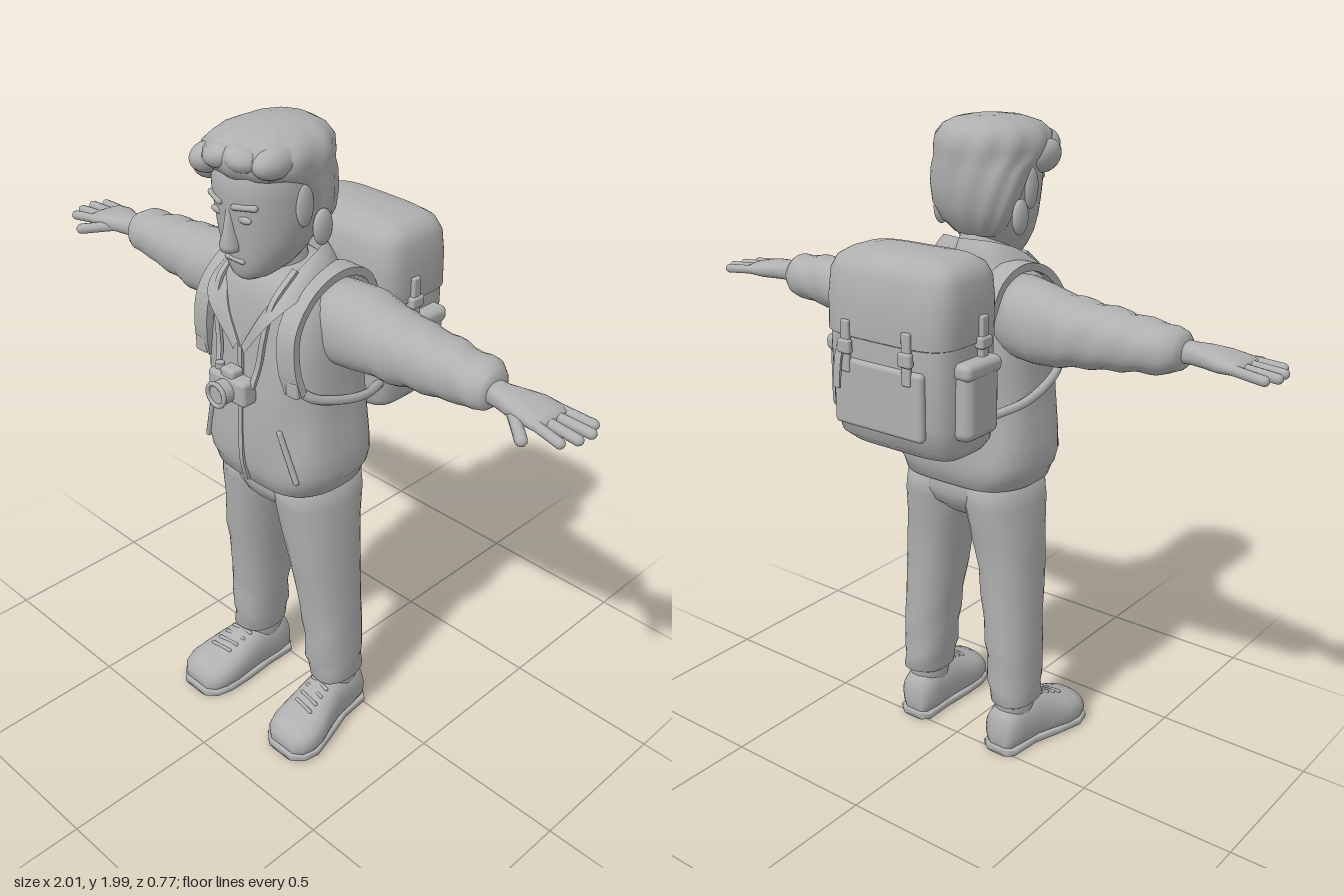
import * as THREE from 'three';
import { mergeVertices } from 'three/addons/utils/BufferGeometryUtils.js';
import { RoundedBoxGeometry } from 'three/addons/geometries/RoundedBoxGeometry.js';

const clay = new THREE.MeshStandardMaterial({ color: 0xb0b0b0, side: THREE.DoubleSide });
clay.name = 'clay grey';
const V = (x, y, z) => new THREE.Vector3(x, y, z);

// Closed skin over superellipse rings [t, a, b, ra, rb].
// axis y: a=x, b=z; axis x: a=z, b=y; axis z: a=y, b=x. t must increase.
function loft(rings, { axis = 'y', n = 2, seg = 28, mod } = {}) {
  const pos = [], idx = [];
  const put = (t, a, b, th) => {
    const p = axis === 'y' ? V(a, t, b) : axis === 'x' ? V(t, b, a) : V(b, a, t);
    if (mod) mod(p, th);
    pos.push(p.x, p.y, p.z);
  };
  const pw = (v) => Math.sign(v) * Math.abs(v) ** (2 / n);
  for (const [t, a, b, ra, rb] of rings)
    for (let j = 0; j < seg; j++) {
      const th = (j / seg) * Math.PI * 2;
      put(t, a + ra * pw(Math.cos(th)), b + rb * pw(Math.sin(th)), th);
    }
  const last = rings.length - 1, c0 = rings.length * seg;
  for (const r of [rings[0], rings[last]]) put(r[0], r[1], r[2], 0);
  for (let j = 0; j < seg; j++) {
    const k = (j + 1) % seg;
    for (let i = 0; i < last; i++) {
      const a = i * seg + j, c = i * seg + k;
      idx.push(a, a + seg, c, a + seg, c + seg, c);
    }
    idx.push(c0, j, k, c0 + 1, last * seg + k, last * seg + j);
  }
  const g = new THREE.BufferGeometry();
  g.setAttribute('position', new THREE.Float32BufferAttribute(pos, 3));
  g.setIndex(idx);
  g.computeVertexNormals();
  return g;
}

// Rounded rod between two points
function rod(a, b, r) {
  const d = b.clone().sub(a);
  const g = new THREE.CapsuleGeometry(r, d.length(), 4, 10);
  g.applyQuaternion(new THREE.Quaternion().setFromUnitVectors(V(0, 1, 0), d.normalize()));
  const m = a.clone().add(b).multiplyScalar(0.5);
  return g.translate(m.x, m.y, m.z);
}
const rbox = (w, h, d, x, y, z, r = 0.012) => new RoundedBoxGeometry(w, h, d, 3, r).translate(x, y, z);
const blob = (x, y, z, rx, ry, rz) => new THREE.SphereGeometry(1, 18, 12).scale(rx, ry, rz).translate(x, y, z);
const curve = (pts) => new THREE.CatmullRomCurve3(pts.map((p) => V(...p)));
const cord = (pts, r) => new THREE.TubeGeometry(curve(pts), 32, r, 8);

// Flat webbing, its width running across x
function webbing(pts, w, t) {
  const s = new THREE.Shape([[-w, -t], [w, -t], [w, t], [-w, t]].map(([x, y]) => new THREE.Vector2(x / 2, y / 2)));
  return new THREE.ExtrudeGeometry(s, { steps: 30, extrudePath: curve(pts) });
}

// Sheet spanned between two curves, bulging slightly in the middle
function sheet(p, q, bulge = 0) {
  const a = curve(p), b = curve(q), g = new THREE.PlaneGeometry(1, 1, 24, 4), at = g.attributes.position;
  for (let i = 0; i < at.count; i++) {
    const u = at.getX(i) + 0.5, v = at.getY(i) + 0.5;
    const m = a.getPoint(u).lerp(b.getPoint(u), v);
    m.y += bulge * Math.sin(v * Math.PI);
    at.setXYZ(i, m.x, m.y, m.z);
  }
  g.computeVertexNormals();
  return g;
}

// Copy reflected in x, with its faces turned back outward
function mirrored(geo) {
  const g = geo.index ? geo.clone() : mergeVertices(geo);
  g.scale(-1, 1, 1);
  const ix = g.index.array;
  for (let i = 0; i < ix.length; i += 3) [ix[i], ix[i + 1]] = [ix[i + 1], ix[i]];
  return g;
}

export function createModel() {
  const root = new THREE.Group();
  root.name = 'hiker';
  const add = (name, g) => {
    const m = new THREE.Mesh(g, clay);
    m.name = name;
    root.add(m);
  };
  const pair = (name, g) => { add(name + 'Left', g); add(name + 'Right', mirrored(g)); };

  // Head and face
  add('head', loft([[1.573, 0, 0.24, 0.03, 0.035], [1.585, 0, 0.225, 0.055, 0.062], [1.61, 0, 0.2, 0.08, 0.095],
    [1.65, 0, 0.185, 0.106, 0.117], [1.7, 0, 0.17, 0.125, 0.137], [1.76, 0, 0.162, 0.134, 0.153],
    [1.82, 0, 0.16, 0.138, 0.162], [1.88, 0, 0.16, 0.138, 0.163], [1.93, 0, 0.15, 0.12, 0.14],
    [1.965, 0, 0.15, 0.07, 0.09]], { n: 2.3, seg: 36 }));
  add('neck', loft([[1.5, 0, 0.13, 0.085, 0.095], [1.58, 0, 0.14, 0.078, 0.09], [1.68, 0, 0.15, 0.078, 0.09]]));
  add('nose', loft([[1.66, 0, 0.305, 0.012, 0.015], [1.668, 0, 0.31, 0.025, 0.028], [1.685, 0, 0.312, 0.027, 0.032],
    [1.72, 0, 0.308, 0.016, 0.026], [1.78, 0, 0.302, 0.011, 0.019], [1.8, 0, 0.3, 0.01, 0.012]], { seg: 16 }));
  add('mouth', rod(V(-0.03, 1.637, 0.296), V(0.03, 1.637, 0.296), 0.008));
  pair('eye', blob(0.052, 1.765, 0.305, 0.024, 0.011, 0.01));
  pair('eyebrow', rod(V(0.028, 1.798, 0.319), V(0.085, 1.803, 0.298), 0.009));
  pair('ear', blob(0.142, 1.715, 0.11, 0.017, 0.052, 0.034).rotateZ(0));

  // Hair: wavy cap, swept fringe and sideburns
  add('hair', loft([[1.655, 0, 0.095, 0.075, 0.035], [1.69, 0, 0.085, 0.108, 0.055], [1.74, 0, 0.08, 0.133, 0.078],
    [1.8, 0, 0.092, 0.146, 0.1], [1.85, 0, 0.115, 0.15, 0.125], [1.875, 0, 0.155, 0.152, 0.165],
    [1.9, 0, 0.165, 0.156, 0.178], [1.935, 0, 0.168, 0.153, 0.18], [1.962, 0, 0.162, 0.128, 0.155],
    [1.98, 0, 0.15, 0.09, 0.11], [1.988, 0, 0.145, 0.045, 0.05]], {
    n: 2.2, seg: 60,
    mod: (p, th) => {
      const w = 1 + 0.018 * Math.sin(11 * th + p.y * 26);
      p.x *= w;
      p.z = 0.14 + (p.z - 0.14) * w;
    },
  }));
  [[-0.125, 1.87, 0.25, 0.036, 0.05, 0.07, 0.2], [-0.085, 1.9, 0.3, 0.05, 0.042, 0.055, 0.4],
    [-0.02, 1.925, 0.315, 0.055, 0.034, 0.045, 0.2], [0.045, 1.93, 0.3, 0.055, 0.035, 0.05, -0.2],
    [0.11, 1.92, 0.25, 0.042, 0.042, 0.07, -0.4]].forEach(([x, y, z, a, b, c, r], i) =>
    add('fringeLock' + (i + 1), blob(0, 0, 0, a, b, c).rotateZ(r).translate(x, y, z)));
  pair('sideburn', blob(0.136, 1.79, 0.17, 0.014, 0.06, 0.03));

  // Jacket body and sleeves, with soft cloth folds
  add('jacketBody', loft([[0.912, 0, 0.105, 0.2, 0.15], [0.92, 0, 0.105, 0.218, 0.17], [0.955, 0, 0.105, 0.231, 0.178],
    [0.965, 0, 0.105, 0.238, 0.183], [1.0, 0, 0.105, 0.246, 0.188], [1.06, 0, 0.107, 0.243, 0.187],
    [1.13, 0, 0.109, 0.233, 0.183], [1.2, 0, 0.111, 0.224, 0.18], [1.28, 0, 0.113, 0.221, 0.175],
    [1.36, 0, 0.114, 0.22, 0.17], [1.45, 0, 0.112, 0.215, 0.163], [1.51, 0, 0.11, 0.195, 0.155],
    [1.555, 0, 0.112, 0.165, 0.142], [1.58, 0, 0.12, 0.12, 0.115], [1.6, 0, 0.12, 0.085, 0.085]], {
    n: 2.8, seg: 48,
    mod: (p, th) => { p.z += 0.003 * Math.sin(5 * th + p.y * 17); },
  }));
  const sleeve = [[0.13, 0.085, 1.445, 0.11, 0.115], [0.2, 0.07, 1.44, 0.113, 0.12], [0.27, 0.06, 1.435, 0.11, 0.116],
    [0.35, 0.06, 1.43, 0.104, 0.102]];
  for (let i = 1; i <= 12; i++) {
    const u = i / 12;
    sleeve.push([0.35 + 0.33 * u, 0.06, 1.43 + 0.005 * u, 0.104 - 0.03 * u, 0.102 - 0.037 * u]);
  }
  sleeve.push([0.705, 0.064, 1.435, 0.062, 0.054], [0.718, 0.066, 1.435, 0.046, 0.04]);
  pair('sleeve', loft(sleeve, {
    axis: 'x', n: 2.2,
    mod: (p, th) => { p.y += 0.0035 * Math.sin(p.x * 62 + 2 * th); p.z += 0.003 * Math.cos(p.x * 48 + th); },
  }));

  // Collar, zip and slanted pocket edges
  const rim = [[0, 1.655, 0.01], [0.095, 1.645, 0.06], [0.112, 1.6, 0.17], [0.075, 1.5, 0.265], [0.004, 1.37, 0.292]];
  pair('collarFold', sheet(rim, [[0, 1.56, -0.03], [0.135, 1.56, 0.03], [0.165, 1.555, 0.17], [0.132, 1.495, 0.288],
    [0.02, 1.355, 0.297]], 0.012));
  pair('collarStand', sheet(rim, [[0, 1.55, 0.03], [0.075, 1.54, 0.07], [0.085, 1.51, 0.17], [0.055, 1.45, 0.25],
    [0.002, 1.36, 0.285]]));
  add('zip', webbing([[0, 0.925, 0.277], [0, 1, 0.293], [0, 1.1, 0.293], [0, 1.22, 0.29], [0, 1.37, 0.285]], 0.016, 0.012));
  pair('pocketEdge', rod(V(0.14, 1.14, 0.276), V(0.188, 0.99, 0.26), 0.009));

  // Hands with four fingers and a thumb
  pair('palm', loft([[0.69, 0.073, 1.435, 0.036, 0.032], [0.74, 0.074, 1.435, 0.037, 0.03], [0.78, 0.074, 1.435, 0.05, 0.03],
    [0.83, 0.07, 1.433, 0.065, 0.028], [0.88, 0.07, 1.43, 0.068, 0.021], [0.9, 0.07, 1.43, 0.056, 0.013]], { axis: 'x', n: 2.4 }));
  [[0.018, 0.008, 0.97], [0.052, 0.046, 0.99], [0.088, 0.092, 0.985], [0.12, 0.135, 0.962]].forEach(([z0, z1, x], i) =>
    pair('finger' + (i + 1), rod(V(0.87, 1.431, z0), V(x, 1.422, z1), 0.0145)));
  pair('thumb', rod(V(0.79, 1.428, 0.1), V(0.88, 1.412, 0.176), 0.0165));

  // Trousers
  add('trouserSeat', loft([[0.8, 0, 0.095, 0.06, 0.09], [0.84, 0, 0.096, 0.15, 0.135], [0.88, 0, 0.097, 0.195, 0.15],
    [0.96, 0, 0.098, 0.2, 0.156]], { n: 2.4 }));
  pair('trouserLeg', loft([[0.165, 0.178, 0.08, 0.06, 0.075], [0.175, 0.178, 0.08, 0.072, 0.09], [0.22, 0.176, 0.081, 0.07, 0.092],
    [0.25, 0.174, 0.082, 0.078, 0.097], [0.33, 0.168, 0.084, 0.077, 0.097], [0.38, 0.165, 0.084, 0.082, 0.101],
    [0.45, 0.16, 0.086, 0.081, 0.102], [0.55, 0.151, 0.091, 0.088, 0.111], [0.63, 0.144, 0.096, 0.09, 0.118],
    [0.75, 0.129, 0.097, 0.1, 0.13], [0.85, 0.113, 0.097, 0.106, 0.146], [0.94, 0.104, 0.097, 0.1, 0.154]], {
    n: 2.3,
    mod: (p, th) => { p.z += 0.004 * Math.sin(p.y * 38 + 2 * th); },
  }));

  // Boots
  pair('bootUpper', loft([[-0.014, 0.06, 0.175, 0.045, 0.035], [0, 0.075, 0.175, 0.075, 0.056], [0.05, 0.085, 0.177, 0.09, 0.065],
    [0.13, 0.083, 0.183, 0.09, 0.07], [0.19, 0.07, 0.192, 0.082, 0.08], [0.24, 0.058, 0.2, 0.07, 0.09],
    [0.29, 0.052, 0.205, 0.06, 0.092], [0.33, 0.046, 0.206, 0.05, 0.078], [0.35, 0.04, 0.206, 0.03, 0.05]],
  { axis: 'z', n: 2.3, mod: (p) => { p.y = Math.max(p.y, 0.008); } }));
  pair('bootShaft', loft([[0.09, 0.177, 0.075, 0.06, 0.075], [0.18, 0.177, 0.078, 0.058, 0.074], [0.22, 0.177, 0.08, 0.055, 0.07]]));
  pair('bootSole', loft([[-0.018, 0.014, 0.175, 0.014, 0.04], [0, 0.014, 0.175, 0.014, 0.062], [0.1, 0.014, 0.18, 0.014, 0.066],
    [0.2, 0.014, 0.193, 0.014, 0.086], [0.28, 0.014, 0.205, 0.014, 0.097], [0.33, 0.014, 0.206, 0.014, 0.085],
    [0.358, 0.014, 0.206, 0.014, 0.052]], { axis: 'z', n: 5 }));
  for (let i = 0; i < 4; i++) {
    const z = 0.155 + i * 0.028, y = 0.163 - i * 0.011, x = 0.186 + i * 0.004;
    pair('bootLace' + (i + 1), rod(V(x - 0.035, y - 0.006, z), V(x + 0.035, y - 0.006, z + 0.01), 0.006));
  }

  // Backpack body, lid and pockets
  add('packBody', loft([[1.083, 0.005, -0.17, 0.15, 0.07], [1.092, 0.005, -0.178, 0.19, 0.105], [1.12, 0.005, -0.187, 0.21, 0.13],
    [1.2, 0.005, -0.196, 0.217, 0.147], [1.4, 0.005, -0.2, 0.219, 0.147], [1.55, 0.005, -0.198, 0.217, 0.14],
    [1.62, 0.005, -0.198, 0.205, 0.122]], { n: 4.5, seg: 48 }));
  add('packLid', loft([[1.425, 0.005, -0.203, 0.215, 0.145], [1.43, 0.005, -0.203, 0.225, 0.152], [1.53, 0.005, -0.201, 0.226, 0.15],
    [1.6, 0.005, -0.2, 0.222, 0.141], [1.635, 0.005, -0.2, 0.207, 0.122], [1.655, 0.005, -0.2, 0.175, 0.092],
    [1.664, 0.005, -0.2, 0.12, 0.05]], { n: 4.2, seg: 48 }));
  add('packBackPocket', rbox(0.32, 0.2, 0.03, 0.005, 1.265, -0.343, 0.014));
  for (const s of [-1, 1]) {
    const n = s > 0 ? 'Left' : 'Right', x = 0.005 + s * 0.22;
    add('sidePocket' + n, rbox(0.08, 0.22, 0.15, x, 1.27, -0.2, 0.03));
    add('sidePocketFlap' + n, rbox(0.088, 0.05, 0.16, x, 1.365, -0.2, 0.02));
    add('sideStrap' + n, rbox(0.02, 0.13, 0.03, x + s * 0.008, 1.44, -0.17, 0.006));
    add('sideBuckle' + n, rbox(0.03, 0.035, 0.05, x + s * 0.01, 1.43, -0.17, 0.008));
    add('lidStrap' + n, rbox(0.03, 0.15, 0.014, 0.005 + s * 0.11, 1.4, -0.356, 0.005));
    add('lidBuckle' + n, rbox(0.046, 0.042, 0.022, 0.005 + s * 0.11, 1.4, -0.36, 0.008));
  }
  add('looseStrap', webbing([[0.13, 1.4, -0.36], [0.13, 1.36, -0.372], [0.133, 1.28, -0.378]], 0.024, 0.007));

  // Shoulder straps and the lower cinch straps
  pair('shoulderStrap', webbing([[0.15, 1.46, -0.07], [0.155, 1.55, -0.02], [0.158, 1.583, 0.07], [0.162, 1.555, 0.18],
    [0.168, 1.47, 0.258], [0.175, 1.36, 0.27], [0.185, 1.28, 0.255]], 0.062, 0.024));
  pair('cinchStrap', cord([[0.185, 1.3, 0.26], [0.215, 1.26, 0.215], [0.232, 1.225, 0.12], [0.228, 1.2, 0.02], [0.19, 1.18, -0.08]], 0.014));
  pair('strapBuckle', rbox(0.045, 0.05, 0.03, 0.188, 1.3, 0.262, 0.008));

  // Camera hanging on its neck cord
  add('cameraBody', rbox(0.15, 0.078, 0.055, -0.005, 1.255, 0.318, 0.014));
  add('cameraFinder', rbox(0.055, 0.035, 0.045, -0.005, 1.297, 0.318, 0.01));
  const tube = (r, d, z) => new THREE.CylinderGeometry(r, r, d, 24).rotateX(Math.PI / 2).translate(-0.003, 1.25, z);
  add('cameraLens', tube(0.036, 0.05, 0.355));
  const ring = new THREE.TorusGeometry(0.034, 0.007, 8, 24).translate(-0.003, 1.25, 0.381);
  add('cameraLensRing', ring);
  add('cameraDial', new THREE.CylinderGeometry(0.014, 0.014, 0.02, 16).translate(-0.055, 1.3, 0.318));
  pair('cameraCord', webbing([[0.07, 1.275, 0.312], [0.08, 1.34, 0.294], [0.095, 1.44, 0.284], [0.108, 1.53, 0.262],
    [0.11, 1.6, 0.18]], 0.018, 0.01));
  return root;
}
